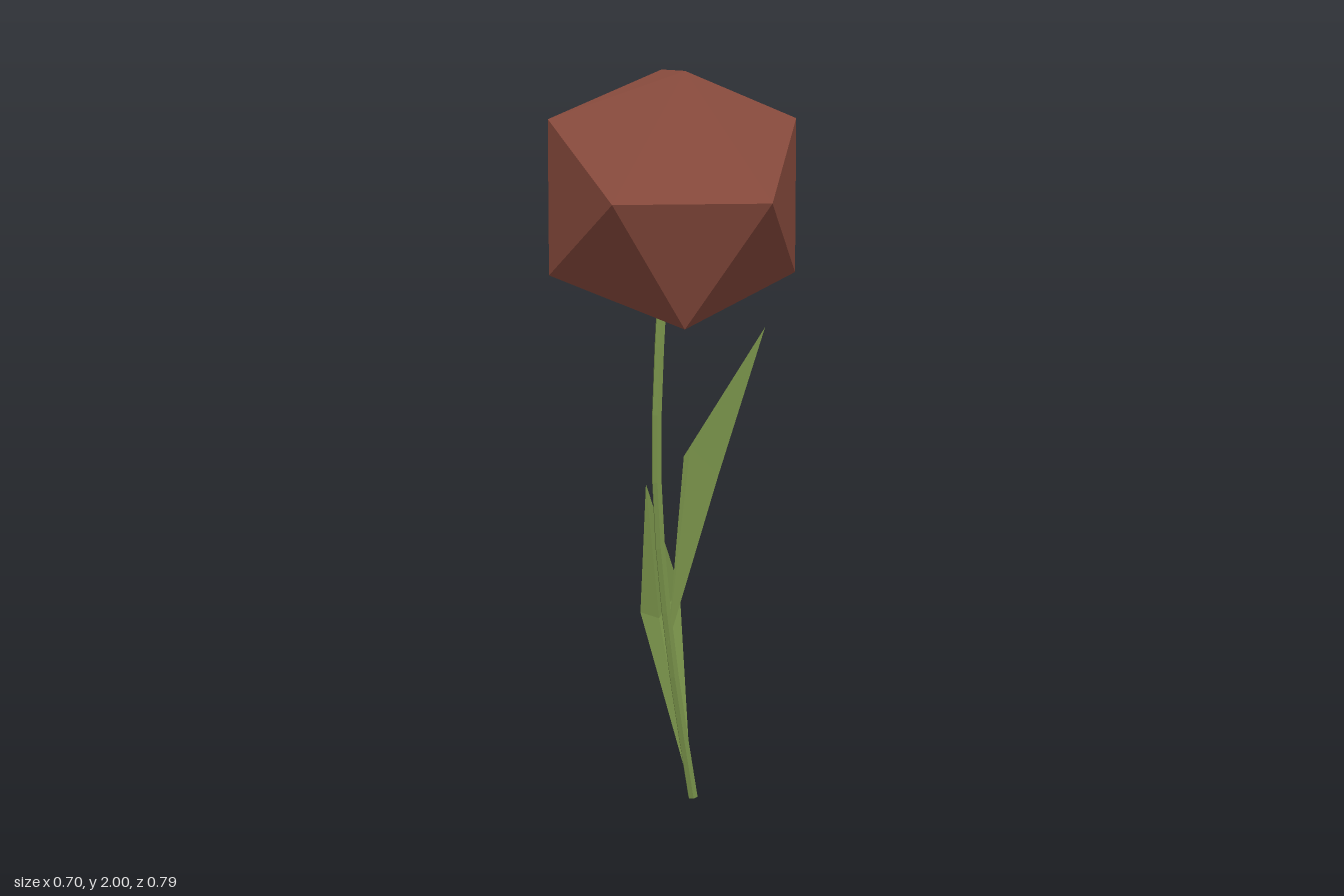
import * as THREE from 'three';

const v = (x, y, z) => new THREE.Vector3(x, y, z);

function part(name, geometry, color, side = THREE.FrontSide) {
  const material = new THREE.MeshStandardMaterial({ color, flatShading: true, side });
  const mesh = new THREE.Mesh(geometry, material);
  mesh.name = name;
  return mesh;
}

// Folded leaf: two triangles on each side of the central crease
function leafGeometry(base, edgeA, crease, edgeB, tip) {
  const triangles = [
    base, edgeA, crease, crease, edgeA, tip,
    base, crease, edgeB, crease, tip, edgeB,
  ];
  const geometry = new THREE.BufferGeometry().setFromPoints(triangles);
  geometry.computeVertexNormals();
  return geometry;
}

export function createModel() {
  const group = new THREE.Group();
  group.name = 'flower';
  const brown = 0x8b4c3e, green = 0x7a944b;

  // Faceted flower head, turned so that one corner points to the front
  const head = new THREE.IcosahedronGeometry(0.393, 0);
  head.rotateX(Math.atan(2 / (1 + Math.sqrt(5)))).rotateZ(Math.PI / 2);
  const flowerHead = part('flowerHead', head, brown);
  flowerHead.position.y = 1.667;
  group.add(flowerHead);

  // Gently curved stem ending inside the head
  const path = new THREE.CatmullRomCurve3([
    v(0.05, 0.003, -0.025), v(0.015, 0.4, 0.04), v(-0.01, 0.8, 0.077),
    v(-0.014, 1.1, 0.077), v(-0.008, 1.45, 0.05),
  ]);
  group.add(part('stem', new THREE.TubeGeometry(path, 8, 0.014, 6), green));

  // Cap under the stem
  const cap = part('stemCap', new THREE.CircleGeometry(0.013, 6).rotateX(Math.PI / 2), green);
  cap.position.set(0.05, 0.003, -0.025);
  group.add(cap);

  // Upper leaf leaning to the left, lower leaf hugging the right of the stem
  group.add(part('upperLeaf', leafGeometry(
    v(0.01, 0.45, 0.06), v(-0.003, 0.95, -0.083), v(0.13, 0.92, -0.01),
    v(0.07, 1.0, 0.045), v(0.24, 1.32, -0.068)), green, THREE.DoubleSide));
  group.add(part('lowerLeaf', leafGeometry(
    v(0.047, 0.01, -0.022), v(-0.08, 0.53, 0.04), v(-0.056, 0.5, -0.033),
    v(-0.012, 0.58, -0.075), v(-0.062, 0.89, 0.042)), green, THREE.DoubleSide));

  return group;
}
